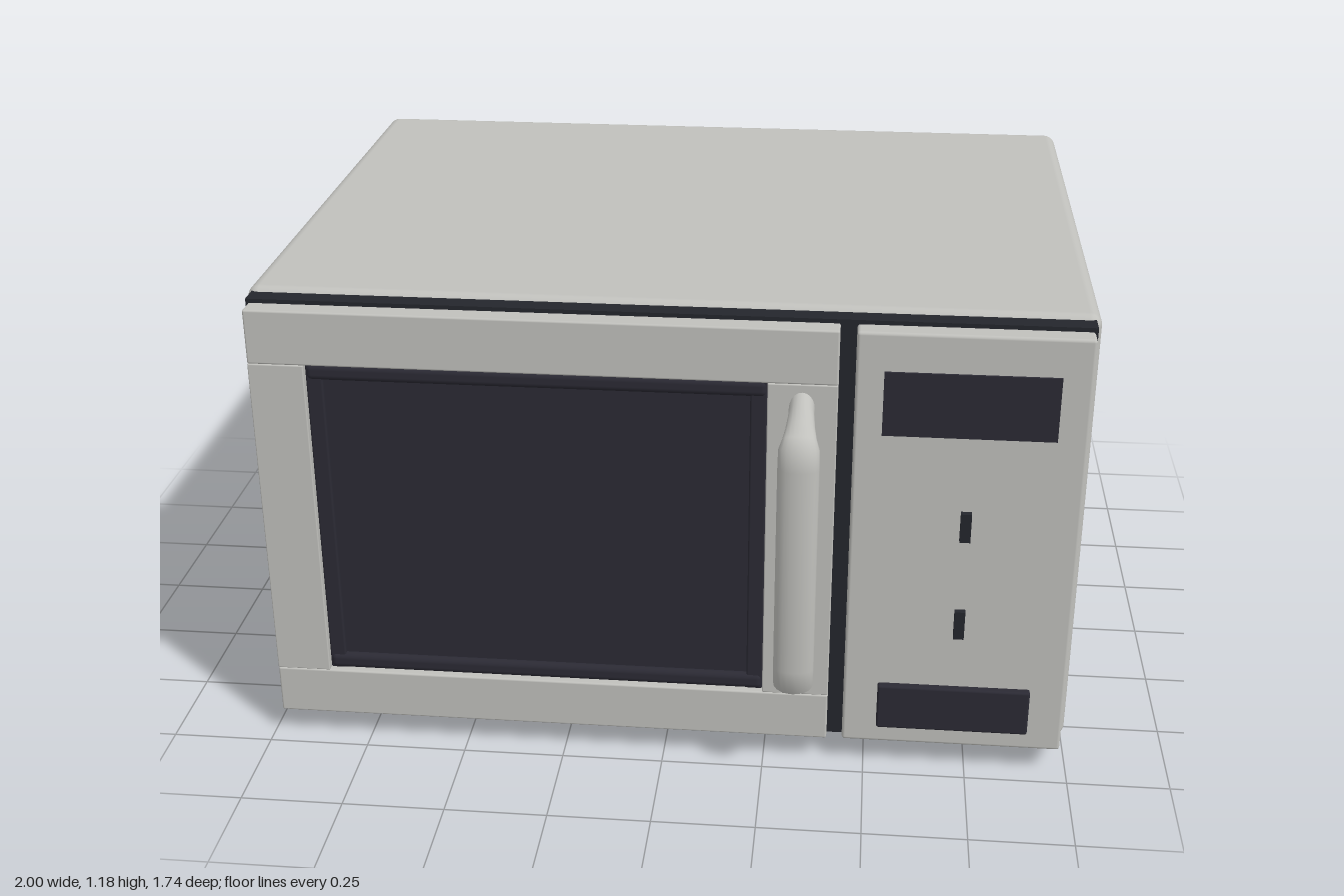
import * as THREE from 'three';
import { RoundedBoxGeometry } from 'three/addons/geometries/RoundedBoxGeometry.js';

const mat = (name, color) => {
  const m = new THREE.MeshStandardMaterial({ color });
  m.name = name;
  return m;
};

export function createModel() {
  const model = new THREE.Group();
  model.name = 'microwaveOven';
  const steel = mat('brushed steel', 0xc0c0bc);
  const glass = mat('dark glass', 0x2b2a34);
  const black = mat('black plastic', 0x24262c);

  const add = (name, geometry, material) => {
    const mesh = new THREE.Mesh(geometry, material);
    mesh.name = name;
    model.add(mesh);
    return mesh;
  };
  // Box given by its limits, optionally with rounded edges
  const box = (name, material, [x0, x1], [y0, y1], [z0, z1], radius = 0) => {
    const size = [x1 - x0, y1 - y0, z1 - z0];
    const g = radius ? new RoundedBoxGeometry(...size, 3, radius) : new THREE.BoxGeometry(...size);
    g.translate((x0 + x1) / 2, (y0 + y1) / 2, (z0 + z1) / 2);
    return add(name, g, material);
  };

  // Cabinet and the dark gasket behind the front
  box('cabinet', steel, [-0.994, 1], [0.04, 1.178], [-0.863, 0.622], 0.03);
  box('gasket', black, [-0.98, 0.985], [0.055, 1.167], [0.6, 0.662]);

  // Door frame: rails across, stiles between
  const depth = [0.655, 0.71];
  box('doorTopRail', steel, [-0.975, 0.407], [1.022, 1.157], depth, 0.005);
  box('doorBottomRail', steel, [-0.975, 0.407], [0.067, 0.192], depth, 0.005);
  box('doorLatchStile', steel, [0.245, 0.407], [0.192, 1.022], depth, 0.003);
  box('doorHingeStile', steel, [-0.975, -0.842], [0.192, 1.022], depth, 0.003);

  // Window with a slim dark surround
  box('windowGlass', glass, [-0.842, 0.245], [0.192, 1.022], [0.66, 0.685]);
  for (const y of [0.192, 0.98]) {
    box('windowSurroundRail', glass, [-0.842, 0.245], [y, y + 0.042], [0.66, 0.7], 0.015);
  }
  for (const x of [-0.842, 0.205]) {
    box('windowSurroundStile', glass, [x, x + 0.04], [0.192, 1.022], [0.66, 0.695], 0.005);
  }

  // Control panel with display, button plate and dial markers
  box('controlPanel', steel, [0.445, 0.98], [0.067, 1.157], depth, 0.008);
  box('display', glass, [0.51, 0.91], [0.905, 1.063], [0.708, 0.716]);
  box('buttonPlate', glass, [0.528, 0.896], [0.118, 0.238], [0.7, 0.728], 0.006);
  for (const y of [0.418, 0.676]) {
    box('dialMarker', black, [0.698, 0.723], [y, y + 0.073], [0.776, 0.791]);
  }

  // Handle: elliptical cross-sections [outer y, outer z, inner y, inner z, half width]
  const mid = 0.608;
  const upper = [
    [1.008, 0.7, 0.922, 0.7, 0.03],
    [0.99, 0.735, 0.922, 0.735, 0.03],
    [0.965, 0.785, 0.92, 0.77, 0.034],
    [0.945, 0.825, 0.918, 0.792, 0.039],
    [0.928, 0.862, 0.905, 0.805, 0.047],
    [0.87, 0.864, 0.87, 0.808, 0.048],
    [0.74, 0.868, 0.74, 0.811, 0.048],
  ];
  const lower = upper.map(([a, b, c, d, w]) => [2 * mid - a, b, 2 * mid - c, d, w]).reverse();
  const rings = [...upper, [mid, 0.87, mid, 0.812, 0.048], ...lower];
  const sides = 20;
  const positions = [], indices = [];
  rings.forEach(([oy, oz, iy, iz, w], i) => {
    for (let j = 0; j < sides; j++) {
      const a = (j / sides) * Math.PI * 2, s = Math.sin(a) / 2;
      positions.push(0.325 + Math.cos(a) * w, (oy + iy) / 2 + (oy - iy) * s, (oz + iz) / 2 + (oz - iz) * s);
      if (i === rings.length - 1) continue;
      const p = i * sides + j, q = i * sides + ((j + 1) % sides);
      indices.push(p, q, p + sides, q, q + sides, p + sides);
    }
  });
  const handle = new THREE.BufferGeometry();
  handle.setAttribute('position', new THREE.Float32BufferAttribute(positions, 3));
  handle.setIndex(indices);
  handle.computeVertexNormals();
  add('doorHandle', handle, steel);

  // Vent slots on the back and on the right side
  for (let i = 0; i < 5; i++) {
    const y = 0.393 + i * 0.113;
    box('backVent', black, [-0.603, 0.172], [y - 0.018, y + 0.018], [-0.866, -0.873]
      .reverse());
  }
  for (let i = 0; i < 6; i++) {
    const y = 0.348 + i * 0.1035;
    box('sideVent', black, [-1, -0.992], [y - 0.016, y + 0.016], [-0.59, 0.145]);
  }

  // Feet
  for (const x of [-0.842, 0.848]) {
    for (const z of [-0.67, 0.505]) {
      add('foot', new THREE.CylinderGeometry(0.069, 0.066, 0.05, 32), black).position.set(x, 0.025, z);
    }
  }
  return model;
}
